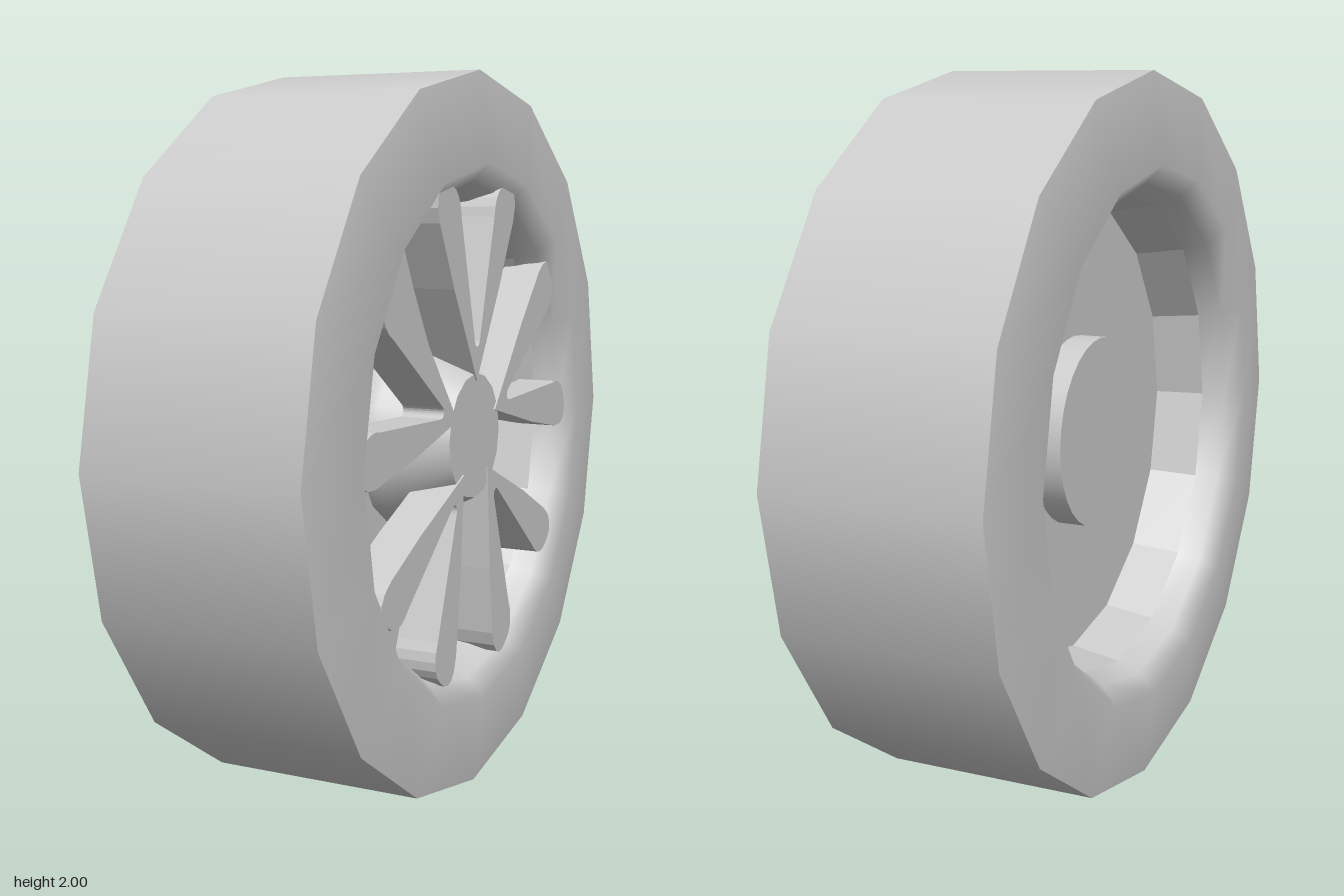
import * as THREE from 'three';

const SIDES = 16;

// Turns a [radius, x] profile round the axle; low x to high x faces outwards
function turned(name, profile, { flat = false, sides = SIDES } = {}) {
  const points = profile.map(([r, x]) => new THREE.Vector2(r, x));
  const geometry = new THREE.LatheGeometry(points, sides);
  geometry.rotateZ(-Math.PI / 2);
  const material = new THREE.MeshStandardMaterial({ color: 0xcccccc, flatShading: flat });
  const mesh = new THREE.Mesh(geometry, material);
  mesh.name = name;
  return mesh;
}

// The same profile seen on the inner (-x) side
const mirrored = (profile) => profile.map(([r, x]) => [r, -x]).reverse();

// V-shaped pair of spokes with round tips and a round notch, pointing up
function spokePairGeometry() {
  const s = new THREE.Shape();
  s.moveTo(0, 0.14);
  s.lineTo(0.16, 0.4);
  s.lineTo(0.255, 0.575);
  s.bezierCurveTo(0.29, 0.65, 0.25, 0.68, 0.2, 0.675);
  s.bezierCurveTo(0.15, 0.68, 0.12, 0.64, 0.115, 0.59);
  s.lineTo(0.02, 0.26);
  s.quadraticCurveTo(0.015, 0.235, 0, 0.235);
  s.quadraticCurveTo(-0.015, 0.235, -0.02, 0.26);
  s.lineTo(-0.115, 0.59);
  s.bezierCurveTo(-0.12, 0.64, -0.15, 0.68, -0.2, 0.675);
  s.bezierCurveTo(-0.25, 0.68, -0.29, 0.65, -0.255, 0.575);
  s.lineTo(-0.16, 0.4);
  s.closePath();
  const geometry = new THREE.ExtrudeGeometry(s, { depth: 0.12, bevelEnabled: false, curveSegments: 5 });
  geometry.rotateY(Math.PI / 2);
  return geometry;
}

export function createModel() {
  const wheel = new THREE.Group();
  wheel.name = 'wheel';
  const body = new THREE.Group();
  body.name = 'wheelBody';
  body.position.y = 1;
  wheel.add(body);

  // Tyre: tread, rounded sidewalls and faceted rim walls
  const sidewall = [[1, 0.305], [0.75, 0.335], [0.7, 0.285], [0.675, 0.22]];
  const rimWall = [[0.675, 0.22], [0.65, 0.075]];
  body.add(
    turned('tread', [[1, -0.305], [1, 0.305]]),
    turned('outerSidewall', sidewall),
    turned('innerSidewall', mirrored(sidewall)),
    turned('outerRimWall', rimWall, { flat: true }),
    turned('innerRimWall', mirrored(rimWall), { flat: true }),
  );

  // Disc closing the middle of the rim
  const face = [[0.65, 0.075], [0, 0.075]];
  body.add(
    turned('outerDisc', face),
    turned('innerDisc', mirrored(face)),
  );

  // Tapered hub behind the spokes, axle boss on the inner side
  body.add(
    turned('hub', [[0.265, 0.075], [0.265, 0.12], [0.175, 0.3]]),
    turned('hubFace', [[0.175, 0.3], [0, 0.3]]),
    turned('axleBoss', [[0.27, -0.157], [0.27, -0.075]], { sides: 32 }),
    turned('axleBossFace', [[0, -0.157], [0.27, -0.157]], { sides: 32 }),
  );

  // Five V-shaped spoke pairs
  const spokes = new THREE.Group();
  spokes.name = 'spokes';
  spokes.position.set(0.185, 0.015, 0);
  const geometry = spokePairGeometry();
  const material = new THREE.MeshStandardMaterial({ color: 0xcccccc, flatShading: true });
  for (let i = 0; i < 5; i++) {
    const pair = new THREE.Mesh(geometry, material);
    pair.name = 'spokePair' + (i + 1);
    pair.rotation.x = (i * Math.PI * 2) / 5;
    spokes.add(pair);
  }
  body.add(spokes);

  return wheel;
}
